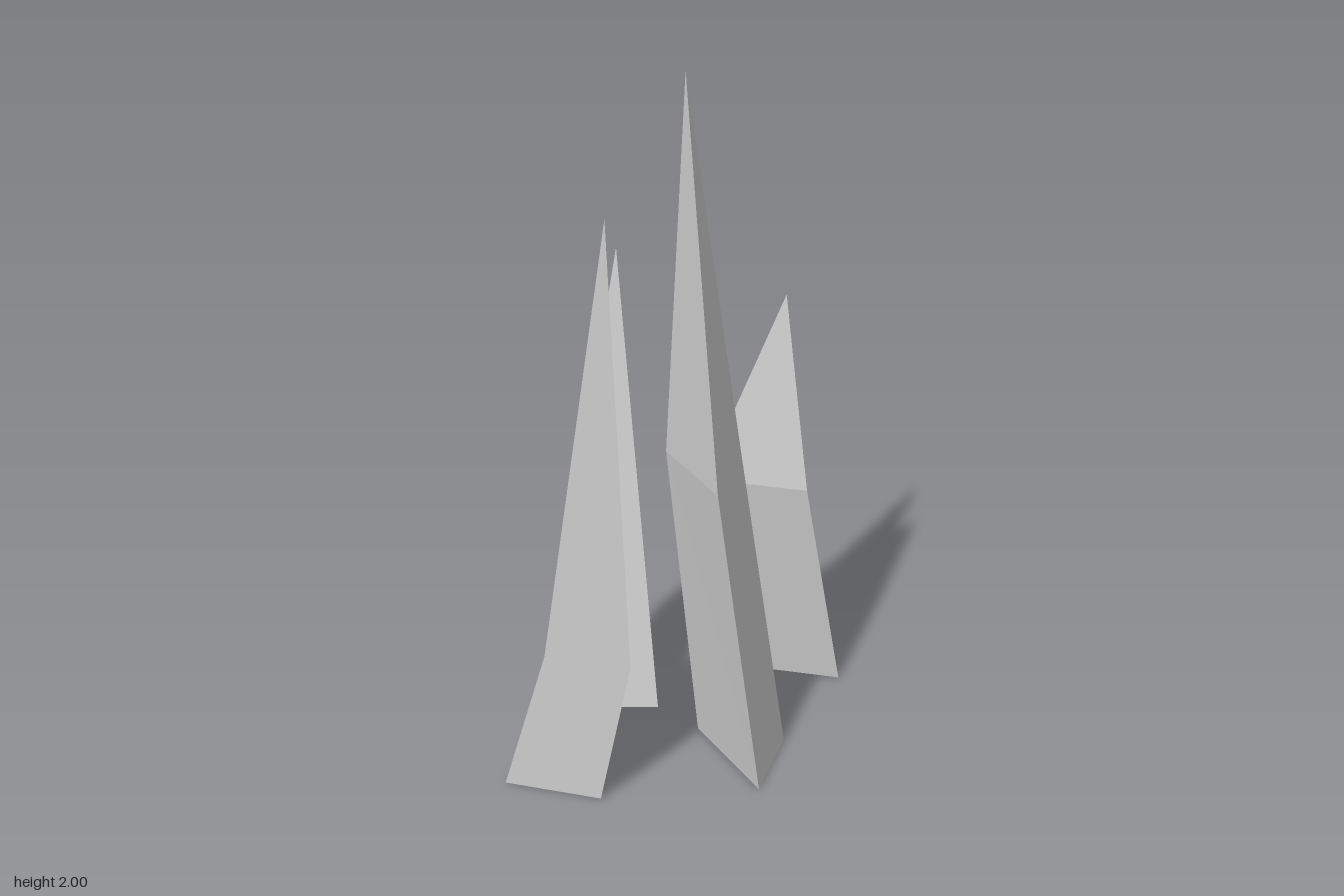
import * as THREE from 'three';

// Each shard: triangular base on the ground, a shifted middle ring, and a tip.
// Corners are [x, z], running clockwise seen from above.
const SHARDS = [
  { name: 'tallShard', midY: 0.9, tip: [0.03, 2, 0.107],
    base: [[0.055, 0.07], [0.305, 0.047], [0.307, 0.303]],
    mid: [[-0.03, 0.095], [0.18, 0.075], [0.18, 0.295]] },
  { name: 'frontShard', midY: 0.43, tip: [-0.07, 1.715, 0.447],
    base: [[-0.325, 0.22], [-0.095, 0.48], [-0.373, 0.49]],
    mid: [[-0.2, 0.243], [-0.01, 0.463], [-0.25, 0.48]] },
  { name: 'sideShard', midY: 0.6, tip: [-0.28, 1.34, -0.222],
    base: [[-0.09, 0], [-0.318, 0.073], [-0.23, -0.19]],
    mid: [[-0.175, -0.1], [-0.355, -0.042], [-0.29, -0.25]] },
  { name: 'backShard', midY: 0.66, tip: [0.19, 1.225, -0.308],
    base: [[0.175, -0.495], [0.37, -0.315], [0.015, -0.285]],
    mid: [[0.11, -0.395], [0.282, -0.232], [-0.02, -0.207]] },
];

function shardGeometry({ base, mid, midY, tip }) {
  const b = base.map(([x, z]) => [x, 0, z]);
  const m = mid.map(([x, z]) => [x, midY, z]);
  const tris = [...b]; // underside
  for (let i = 0; i < 3; i++) {
    const j = (i + 1) % 3;
    tris.push(b[i], m[i], m[j], b[i], m[j], b[j]); // lower wall
    tris.push(m[i], tip, m[j]); // tapering upper facet
  }
  const geo = new THREE.BufferGeometry();
  geo.setAttribute('position', new THREE.Float32BufferAttribute(tris.flat(), 3));
  geo.computeVertexNormals();
  return geo;
}

export function createModel() {
  const group = new THREE.Group();
  group.name = 'shardCluster';
  const material = new THREE.MeshStandardMaterial({ color: 0xcccccc, flatShading: true });
  for (const shard of SHARDS) {
    const mesh = new THREE.Mesh(shardGeometry(shard), material);
    mesh.name = shard.name;
    group.add(mesh);
  }
  return group;
}
